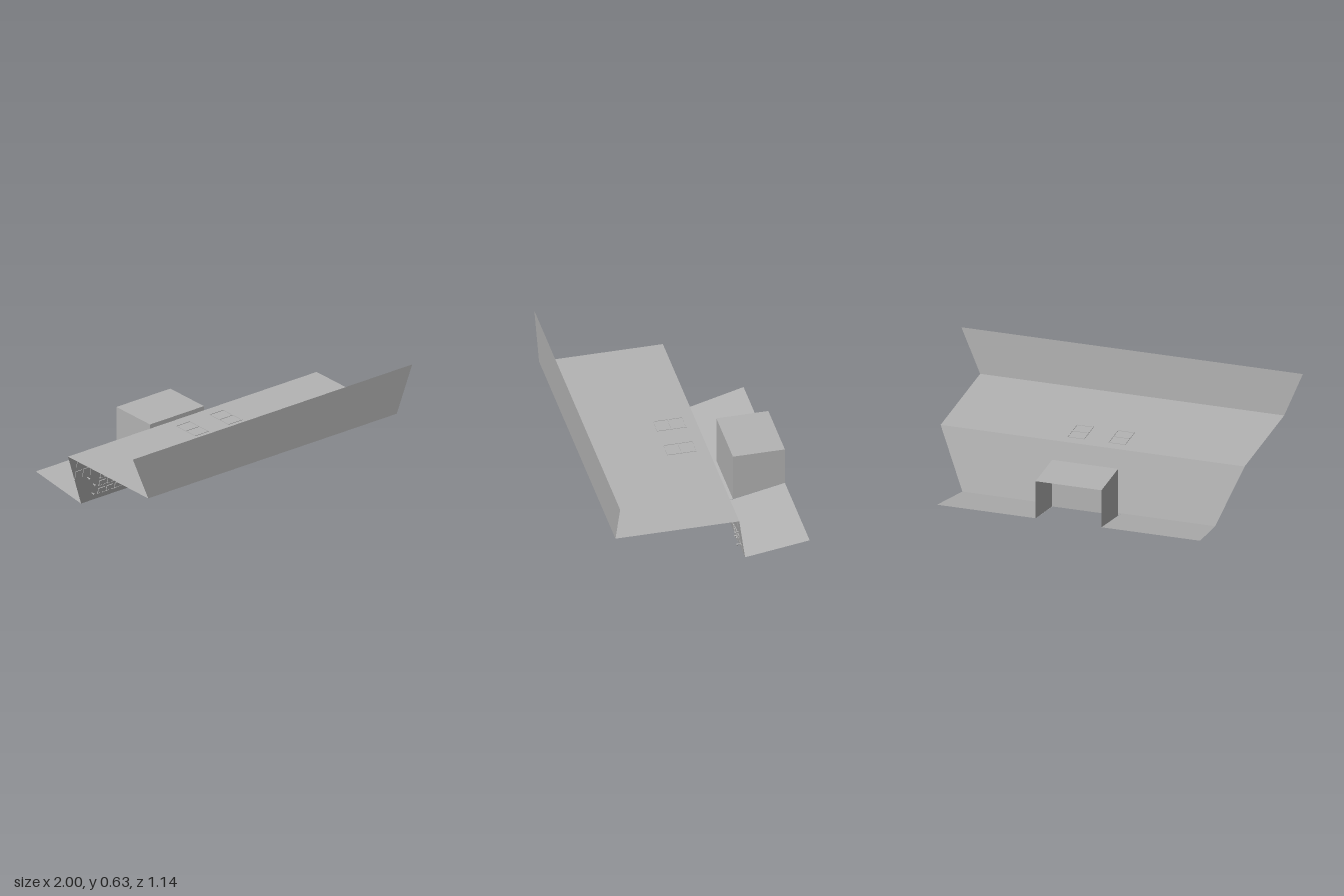
import * as THREE from 'three';

const grey = new THREE.MeshStandardMaterial({ color: 0xb4b4b4, side: THREE.DoubleSide });
grey.name = 'panel grey';

// Flat four-cornered sheet
function sheet(parent, name, a, b, c, d) {
  const g = new THREE.BufferGeometry();
  g.setAttribute('position', new THREE.Float32BufferAttribute([...a, ...b, ...c, ...d], 3));
  g.setIndex([0, 1, 2, 0, 2, 3]);
  g.computeVertexNormals();
  const m = new THREE.Mesh(g, grey);
  m.name = name;
  parent.add(m);
}

// Thin block on a surface: u across, v along, raised by t
function plate(parent, name, u, v, w, h, t = 0.005, base = 0) {
  const m = new THREE.Mesh(new THREE.BoxGeometry(w, h, t), grey);
  m.position.set(u, v, base + t / 2);
  m.name = name;
  parent.add(m);
}

// Rectangular rim
function frame(parent, name, u, v, w, h, t = 0.006, r = 0.005) {
  for (const s of [-1, 1]) {
    plate(parent, name, u, v + s * (h - r) / 2, w, r, t);
    plate(parent, name, u + s * (w - r) / 2, v, r, h - 2 * r, t);
  }
}

// Regular array of blocks
function grid(parent, name, u, v, nu, nv, du, dv, w, h, t = 0.006) {
  for (let i = 0; i < nu; i++)
    for (let j = 0; j < nv; j++)
      plate(parent, name, u + (i - (nu - 1) / 2) * du, v + (j - (nv - 1) / 2) * dv, w, h, t);
}

// Round stem with a wider cap
function knob(parent, u, v, r = 0.006, len = 0.02) {
  const g = new THREE.Group();
  g.name = 'knob';
  for (const [rad, l, z] of [[r * 0.5, len, len / 2], [r, 0.006, len]]) {
    const m = new THREE.Mesh(new THREE.CylinderGeometry(rad, rad, l, 10), grey);
    m.rotation.x = Math.PI / 2;
    m.position.z = z;
    m.name = 'knobPart';
    g.add(m);
  }
  g.position.set(u, v, 0);
  parent.add(g);
}

function surface(root, name, y, z, angle) {
  const g = new THREE.Group();
  g.name = name;
  g.position.set(0, y, z);
  g.rotation.x = angle;
  root.add(g);
  return g;
}

export function createModel() {
  const root = new THREE.Group();
  root.name = 'console';

  // Main folded sheets
  sheet(root, 'frontFlap', [-0.89, 0.357, 0.57], [0.89, 0.357, 0.57], [1, 0.627, 0.57], [-1, 0.627, 0.57]);
  sheet(root, 'deck', [-0.89, 0.357, 0.57], [0.89, 0.357, 0.57], [0.89, 0.357, -0.14], [-0.89, 0.357, -0.14]);
  sheet(root, 'slopedPanel', [-0.74, 0, -0.21], [0.74, 0, -0.21], [0.89, 0.357, -0.14], [-0.89, 0.357, -0.14]);

  // Rear shelf around the opening
  const bx = 0.193, zf = -0.275, zb = -0.573, yf = 0.016, yb = 0.075, top = 0.302;
  sheet(root, 'shelfStrip', [-bx, yf, zf], [bx, yf, zf], [bx, 0, -0.21], [-bx, 0, -0.21]);
  for (const s of [-1, 1]) {
    const p = [[s * bx, 0, -0.21], [s * 0.74, 0, -0.21], [s * 0.77, yb, zb], [s * bx, yb, zb]];
    sheet(root, 'rearShelf', ...(s > 0 ? p : p.reverse()));
    // Housing side walls
    const q = [[s * bx, yf, zf], [s * bx, yb, zb], [s * bx, top, zb], [s * bx, top, zf]];
    sheet(root, 'housingSide', ...(s > 0 ? q : q.reverse()));
  }
  sheet(root, 'housingFront', [-bx, yf, zf], [bx, yf, zf], [bx, top, zf], [-bx, top, zf]);
  sheet(root, 'housingTop', [-bx, top, zf], [bx, top, zf], [bx, top, zb], [-bx, top, zb]);

  // Controls on the sloped panel
  const face = surface(root, 'panelControls', 0, -0.21, Math.atan2(0.07, 0.357));
  frame(face, 'centreFrame', 0, 0.188, 0.422, 0.305);
  plate(face, 'centrePlate', 0, 0.188, 0.405, 0.29, 0.003);
  grid(face, 'centreKeys', 0, 0.178, 14, 4, 0.015, 0.017, 0.011, 0.008, 0.008);
  grid(face, 'centreKeys', 0, 0.285, 7, 2, 0.015, 0.022, 0.01, 0.006, 0.008);
  grid(face, 'centreKeys', -0.03, 0.092, 10, 1, 0.015, 0.02, 0.01, 0.007, 0.008);
  grid(face, 'sideKeys', 0.16, 0.275, 3, 3, 0.022, 0.015, 0.016, 0.006, 0.008);
  grid(face, 'sideKeys', -0.165, 0.22, 2, 2, 0.03, 0.06, 0.022, 0.006, 0.008);
  for (const s of [-1, 1]) {
    grid(face, 'sliderTrack', s * 0.32, 0.08, 5, 1, 0.036, 0, 0.02, 0.075, 0.004);
    grid(face, 'smallDisplay', s * 0.31, 0.305, 2, 1, 0.09, 0, 0.07, 0.055, 0.004);
    grid(face, 'switchRow', s * 0.31, 0.185, 5, 2, 0.03, 0.022, 0.018, 0.009, 0.007);
    for (const [u, v] of [[0.3, 0.295], [0.39, 0.295], [0.31, 0.175], [0.67, 0.05], [0.72, 0.17], [0.67, 0.11]])
      knob(face, s * u, v);
  }
  grid(face, 'buttonBlock', -0.545, 0.18, 3, 6, 0.06, 0.052, 0.046, 0.034, 0.005);
  grid(face, 'buttonEdge', -0.545, 0.165, 6, 6, 0.03, 0.052, 0.02, 0.005, 0.008);
  grid(face, 'dialPlate', -0.74, 0.255, 3, 2, 0.055, 0.085, 0.042, 0.055, 0.004);
  grid(face, 'buttonBlock', 0.575, 0.085, 1, 5, 0, 0.03, 0.036, 0.02, 0.007);
  grid(face, 'dialPlate', 0.69, 0.29, 3, 2, 0.065, 0.055, 0.05, 0.04, 0.004);
  grid(face, 'dialPlate', 0.665, 0.08, 2, 2, 0.06, 0.06, 0.045, 0.045, 0.004);

  // Instruments under the deck
  const under = surface(root, 'overheadControls', 0.357, -0.14, Math.PI / 2);
  grid(under, 'centreGrille', 0, 0.42, 16, 18, 0.022, 0.022, 0.014, 0.014, 0.006);
  frame(under, 'centreRim', 0, 0.42, 0.38, 0.43);
  for (const s of [-1, 1]) {
    grid(under, 'ribs', s * 0.53, 0.62, 24, 1, 0.026, 0, 0.012, 0.13, 0.007);
    grid(under, 'ribs', s * 0.46, 0.5, 18, 1, 0.026, 0, 0.012, 0.07, 0.007);
    for (const u of [0.3, 0.42, 0.56, 0.69, 0.81]) {
      plate(under, 'lampStrip', s * u, 0.39, 0.09, 0.03, 0.008);
      plate(under, 'lampStrip', s * u, 0.335, 0.09, 0.03, 0.006);
    }
    for (const u of [0.35, 0.57, 0.8]) {
      frame(under, 'gaugeFrame', s * u, 0.25, 0.11, 0.075);
      plate(under, 'gauge', s * u, 0.25, 0.075, 0.045, 0.005);
    }
    grid(under, 'switchRow', s * 0.55, 0.13, 14, 3, 0.045, 0.035, 0.028, 0.016, 0.008);
    for (const u of [0.25, 0.38, 0.6]) knob(under, s * u, 0.045, 0.008, 0.016);
  }

  // Pair of split hatches on top of the deck
  const over = surface(root, 'deckHatches', 0.357, 0, -Math.PI / 2);
  for (const s of [-1, 1]) {
    frame(over, 'hatchRim', s * 0.12, -0.01, 0.1, 0.17, 0.003, 0.004);
    plate(over, 'hatchBar', s * 0.12, -0.01, 0.09, 0.006, 0.003);
  }
  return root;
}
